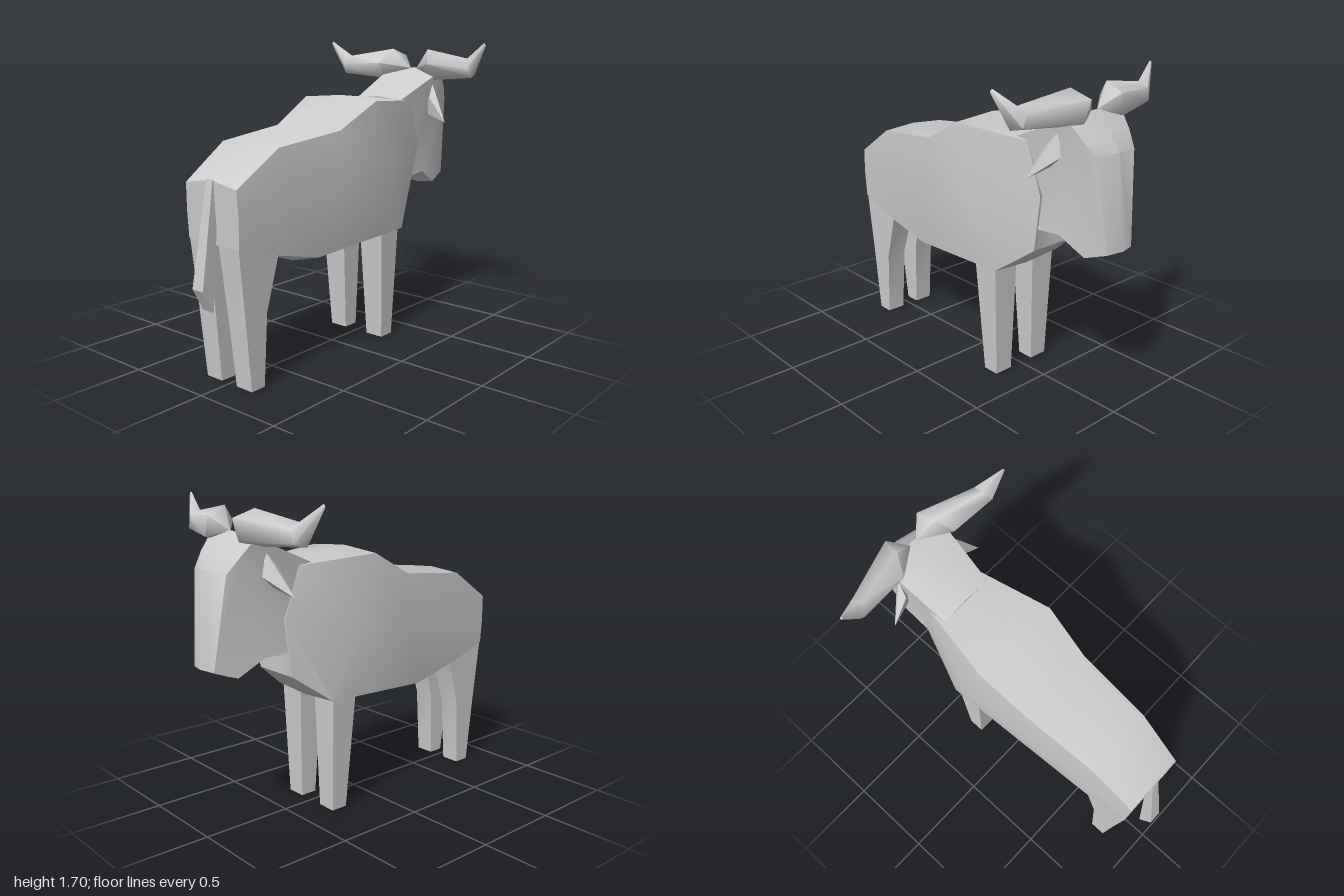
import * as THREE from 'three';
import { toCreasedNormals } from 'three/addons/utils/BufferGeometryUtils.js';

const material = new THREE.MeshStandardMaterial({ color: 0xcccccc, side: THREE.DoubleSide });

const centre = (ring) => [0, 1, 2].map((i) => ring.reduce((s, p) => s + p[i], 0) / ring.length);
const mirror = (ring) => ring.map(([x, y, z]) => [-x, y, z]).reverse();

function toGeometry(points, index, crease) {
  const geo = new THREE.BufferGeometry();
  geo.setAttribute('position', new THREE.Float32BufferAttribute(points.flat(), 3));
  geo.setIndex(index);
  return toCreasedNormals(geo, crease);
}

// Skin between rings; rings run clockwise seen from the start, ends close to an apex point.
function loft(rings, crease = 0.3, startApex = centre(rings[0]), endApex = centre(rings.at(-1))) {
  const n = rings[0].length, last = (rings.length - 1) * n;
  const points = [...rings.flat(), startApex, endApex];
  const index = [];
  for (let k = 0; k < n; k++) {
    const m = (k + 1) % n;
    for (let r = 0; r < last; r += n) {
      index.push(r + k, r + m, r + n + m, r + k, r + n + m, r + n + k);
    }
    index.push(last + n, m, k, last + n + 1, last + k, last + m);
  }
  return toGeometry(points, index, crease);
}

// Outline in z,y with flat sides and a raised centre line: [z, y, halfWidth, centreZ, centreY]
function plated(profile, crease) {
  const n = profile.length;
  const points = [
    ...profile.map(([z, y, w]) => [w, y, z]),
    ...profile.map(([, , , z, y]) => [0, y, z]),
    ...profile.map(([z, y, w]) => [-w, y, z]),
  ];
  const index = [];
  for (let r = 0; r < 2 * n; r += n) {
    for (let k = 0; k < n; k++) {
      const m = (k + 1) % n;
      index.push(r + k, r + m, r + n + m, r + k, r + n + m, r + n + k);
    }
  }
  const outline = profile.map(([z, y]) => new THREE.Vector2(-z, y));
  for (const [a, b, c] of THREE.ShapeUtils.triangulateShape(outline, [])) {
    const area = (outline[b].x - outline[a].x) * (outline[c].y - outline[a].y)
      - (outline[b].y - outline[a].y) * (outline[c].x - outline[a].x);
    const [p, q] = area > 0 ? [b, c] : [c, b];
    index.push(a, p, q, 2 * n + a, 2 * n + q, 2 * n + p);
  }
  return toGeometry(points, index, crease);
}

// Level rectangle for legs
const slab = (x0, x1, back, front) => [
  [x0, front[1], front[0]], [x1, front[1], front[0]], [x1, back[1], back[0]], [x0, back[1], back[0]],
];

export function createModel() {
  const group = new THREE.Group();
  const add = (name, geometry) => {
    const mesh = new THREE.Mesh(geometry, material);
    mesh.name = name;
    group.add(mesh);
  };
  const addPair = (name, rings, crease, start, end) => {
    const flip = (p) => p && [-p[0], p[1], p[2]];
    add(name + 'Left', loft(rings, crease, start, end));
    add(name + 'Right', loft(rings.map(mirror), crease, flip(start), flip(end)));
  };

  // Body, rump to chest: centre top y, [w, y, z] of top edge, flank and belly edge, centre belly y
  const sections = [
    [1.07, [0.18, 1.04, 0.9], [0.185, 0.9, 0.895], [0.18, 0.75, 0.89], 0.75],
    [1.23, [0.2, 1.215, 0.63], [0.215, 0.95, 0.63], [0.19, 0.67, 0.62], 0.66],
    [1.275, [0.225, 1.26, 0.2], [0.25, 0.95, 0.2], [0.19, 0.6, 0.33], 0.55],
    [1.42, [0.255, 1.4, -0.07], [0.287, 1.0, -0.2], [0.235, 0.645, -0.35], 0.63],
    [1.375, [0.17, 1.37, -0.51], [0.165, 1.1, -0.6], [0.14, 0.79, -0.54], 0.79],
  ];
  add('body', loft(sections.map(([top, a, b, c, belly]) => [
    [0, top, a[2]], a, b, c, [0, belly, c[2]], ...mirror([a, b, c]),
  ]), 0.6));

  // Neck and head in one piece
  add('head', plated([
    [-0.42, 1.375, 0.16, -0.42, 1.395],
    [-0.78, 1.53, 0.195, -0.79, 1.55],
    [-0.86, 1.44, 0.17, -0.87, 1.46],
    [-0.92, 1.36, 0.14, -0.945, 1.37],
    [-0.975, 0.885, 0.09, -1.0, 0.89],
    [-0.85, 0.84, 0.11, -0.85, 0.825],
    [-0.7, 0.925, 0.135, -0.7, 0.89],
    [-0.55, 0.915, 0.14, -0.55, 0.88],
    [-0.45, 0.95, 0.13, -0.45, 0.95],
  ], 0.6));

  // Horns: five-sided, tilted rings from the crown to the upturned tip
  const hornRing = (x, y, z, ry, rz, tiltY, tiltZ) => Array.from({ length: 5 }, (_, i) => {
    const a = 0.25 + (i * Math.PI * 2) / 5, c = Math.cos(a), s = Math.sin(a);
    return [x - tiltY * c + tiltZ * s, y + ry * c, z + rz * s];
  });
  addPair('horn', [
    hornRing(0.15, 1.57, -0.765, 0.095, 0.105, 0.03, 0.03),
    hornRing(0.445, 1.558, -0.712, 0.058, 0.057, 0.018, 0.01),
    hornRing(0.56, 1.695, -0.67, 0.008, 0.006, 0.006, 0),
  ], 1.35, [0.02, 1.545, -0.78]);

  // Ears: drooping spikes on a diamond base
  addPair('ear', [[
    [0.18, 1.46, -0.72], [0.2, 1.38, -0.66], [0.18, 1.28, -0.68], [0.19, 1.34, -0.75],
  ]], 0.3, [0.16, 1.36, -0.7], [0.32, 1.24, -0.65]);

  // Legs, top to hoof; each end as [z, y]
  addPair('hindLeg', [
    slab(0.035, 0.175, [0.89, 0.76], [0.61, 0.7]),
    slab(0.045, 0.17, [0.85, 0.4], [0.7, 0.39]),
    slab(0.055, 0.165, [0.81, 0], [0.72, 0]),
  ]);
  addPair('foreleg', [
    slab(0.06, 0.22, [-0.175, 0.7], [-0.335, 0.7]),
    slab(0.08, 0.19, [-0.225, 0], [-0.32, 0]),
  ]);

  // Tail
  add('tail', loft([
    slab(-0.022, 0.022, [0.905, 1.075], [0.87, 1.04]),
    slab(-0.038, 0.038, [1.0, 0.54], [0.935, 0.42]),
  ]));

  return group;
}
